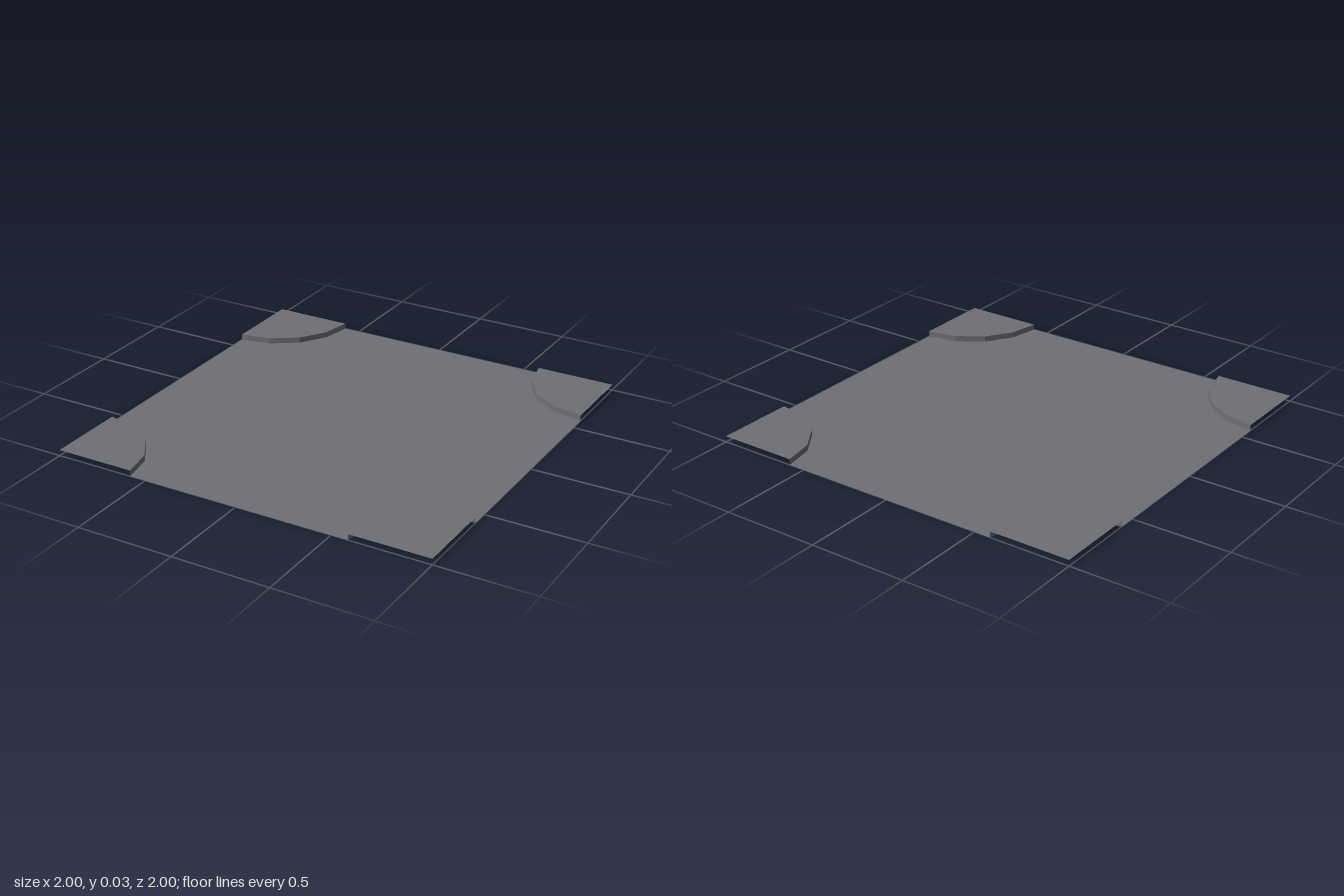
import * as THREE from 'three';

const RADIUS = 0.414; // corner arc radius
const STEP = 0.03;    // height of the raised corners
const SEGMENTS = 4;   // facets per corner arc

export function createModel() {
  const model = new THREE.Group();
  model.name = 'floorTile';
  const grey = new THREE.MeshStandardMaterial({ color: 0x6e7076, side: THREE.DoubleSide, flatShading: true });
  grey.name = 'slate grey';

  // Lower floor: a square with a faceted quarter circle cut from each corner
  const outline = [];
  [[-1, -1], [1, -1], [1, 1], [-1, 1]].forEach(([cx, cy], k) => {
    for (let i = 0; i <= SEGMENTS; i++) {
      const a = (k + 1) * Math.PI / 2 - i * Math.PI / 2 / SEGMENTS;
      outline.push(new THREE.Vector2(cx + RADIUS * Math.cos(a), cy + RADIUS * Math.sin(a)));
    }
  });
  const floor = new THREE.Mesh(new THREE.ShapeGeometry(new THREE.Shape(outline)).rotateX(-Math.PI / 2), grey);
  floor.name = 'floor';
  model.add(floor);

  // Raised corners: a quarter disc on top and a curved riser down to the floor
  const disc = new THREE.CircleGeometry(RADIUS, SEGMENTS, 0, Math.PI / 2)
    .rotateX(-Math.PI / 2).translate(-1, STEP, 1);
  const wall = new THREE.CylinderGeometry(RADIUS, RADIUS, STEP, SEGMENTS, 1, true, Math.PI / 2, Math.PI / 2)
    .translate(-1, STEP / 2, 1);
  for (let k = 0; k < 4; k++) {
    const corner = new THREE.Group();
    corner.name = 'corner' + (k + 1);
    const top = new THREE.Mesh(disc, grey);
    top.name = 'cornerTop';
    const riser = new THREE.Mesh(wall, grey);
    riser.name = 'cornerRiser';
    corner.add(top, riser);
    corner.rotation.y = k * Math.PI / 2;
    model.add(corner);
  }
  return model;
}
